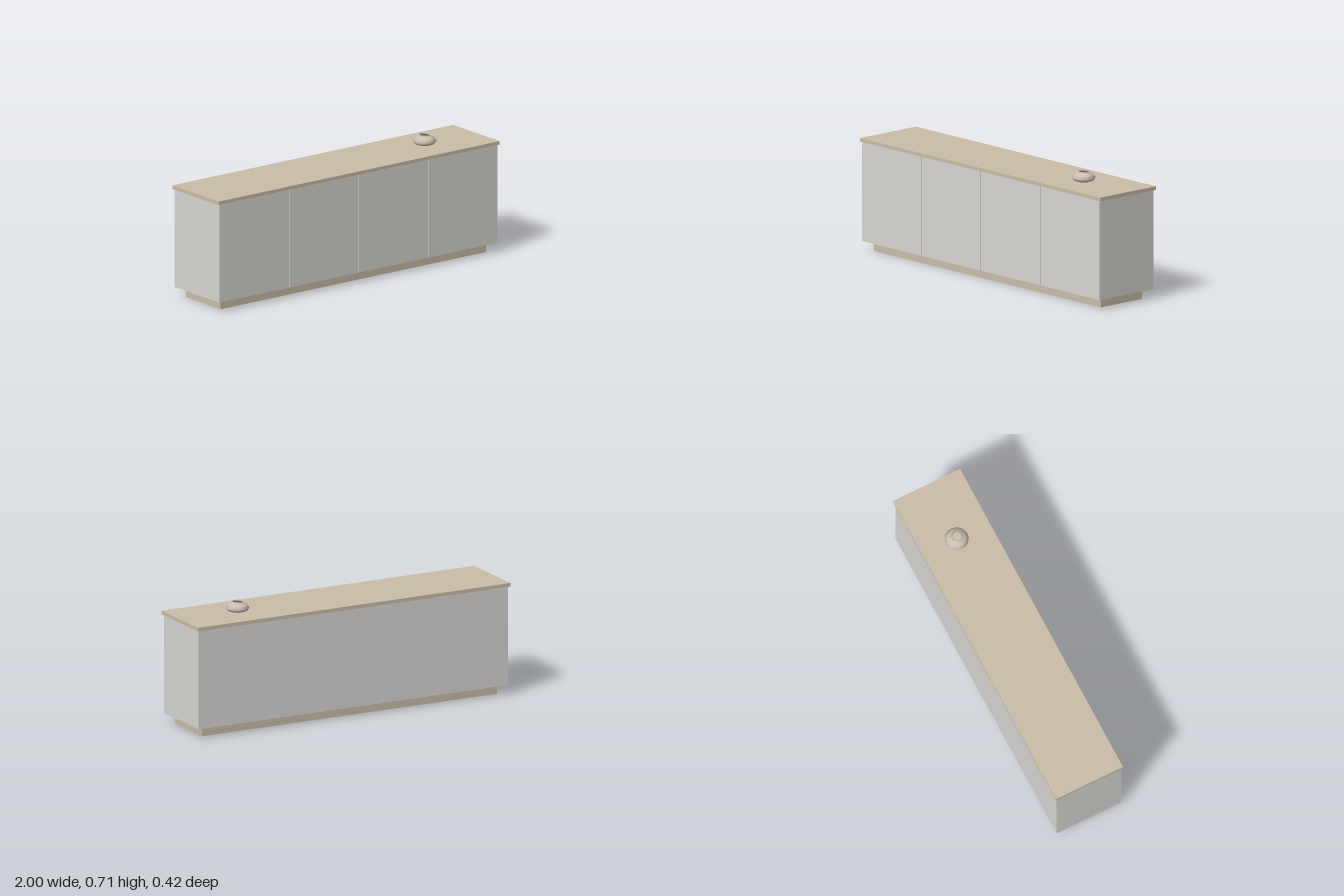
import * as THREE from 'three';

export function createModel() {
  const group = new THREE.Group();
  group.name = 'sideboard';
  const wood = new THREE.MeshStandardMaterial({ color: 0xcbbda8 });
  const lacquer = new THREE.MeshStandardMaterial({ color: 0xd8d7d3 });
  const clay = new THREE.MeshStandardMaterial({ color: 0xc9bfb0, side: THREE.DoubleSide });

  // Box given by its width, bottom, top, back and front
  function box(name, material, width, y0, y1, z0, z1, x = 0) {
    const mesh = new THREE.Mesh(new THREE.BoxGeometry(width, y1 - y0, z1 - z0), material);
    mesh.position.set(x, (y0 + y1) / 2, (z0 + z1) / 2);
    mesh.name = name;
    group.add(mesh);
  }

  box('plinth', wood, 1.89, 0, 0.056, -0.157, 0.157);
  box('cabinetBody', lacquer, 1.98, 0.056, 0.628, -0.202, 0.202);
  box('worktop', wood, 2, 0.628, 0.649, -0.211, 0.211);

  // Four doors with narrow gaps between them
  const pitch = 1.98 / 4;
  for (let i = 0; i < 4; i++) {
    box('door' + (i + 1), lacquer, pitch - 0.005, 0.058, 0.626, 0.202, 0.207, (i - 1.5) * pitch);
  }

  // Squat vase with a small flared rim
  const profile = [
    [0, 0], [0.038, 0], [0.057, 0.007], [0.067, 0.023], [0.053, 0.041],
    [0.029, 0.05], [0.026, 0.054], [0.028, 0.059],
  ].map(([r, y]) => new THREE.Vector2(r, y));
  const vase = new THREE.Mesh(new THREE.LatheGeometry(profile, 32), clay);
  vase.position.set(0.63, 0.649, 0);
  vase.name = 'vase';
  group.add(vase);

  return group;
}
